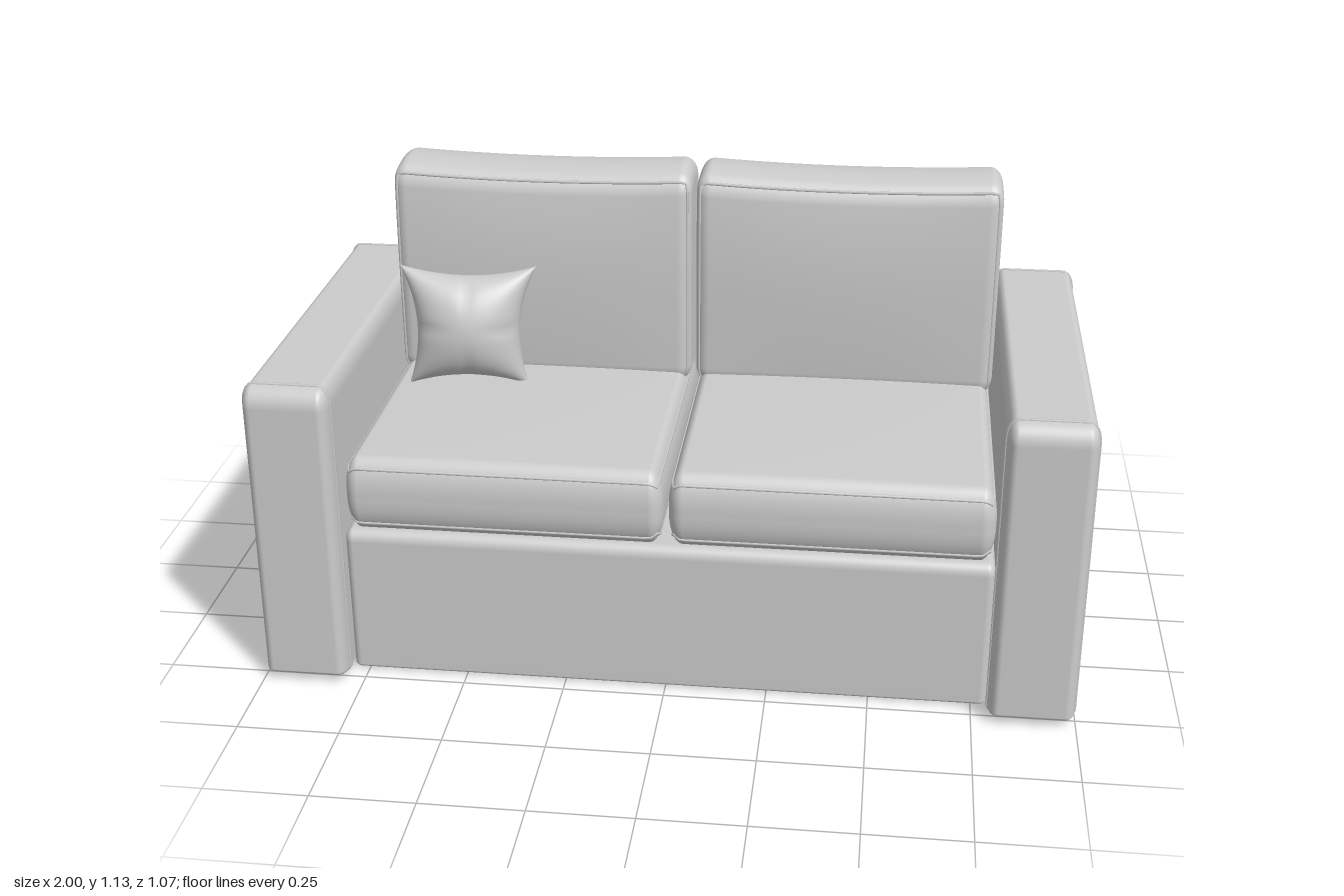
import * as THREE from 'three';
import { mergeVertices } from 'three/addons/utils/BufferGeometryUtils.js';

const material = new THREE.MeshStandardMaterial({ color: 0xcccccc });
const doubleSided = new THREE.MeshStandardMaterial({ color: 0xcccccc, side: THREE.DoubleSide });

function smooth(geometry) {
  geometry.deleteAttribute('uv');
  geometry.deleteAttribute('normal');
  const merged = mergeVertices(geometry, 1e-5);
  merged.computeVertexNormals();
  return merged;
}

// Maps a point of the cube [-1,1]^3 onto an upholstered block.
// The outer half of each axis becomes the rounded edge; shape(p, f) puffs the result.
function softMap({ min, max, radius, bottomRadius = radius[1], shape }) {
  const lo = new THREE.Vector3(...min), hi = new THREE.Vector3(...max);
  const centre = lo.clone().add(hi).multiplyScalar(0.5);
  const half = hi.clone().sub(lo).multiplyScalar(0.5);
  return (t) => {
    const dir = new THREE.Vector3(), p = new THREE.Vector3(), f = new THREE.Vector3();
    for (let i = 0; i < 3; i++) {
      const a = t.getComponent(i);
      const u = Math.max(0, Math.abs(a) * 2 - 1);
      dir.setComponent(i, Math.sign(a) * Math.tan(u * Math.PI / 4));
    }
    dir.normalize();
    for (let i = 0; i < 3; i++) {
      const a = t.getComponent(i);
      const r = i === 1 && a < 0 ? bottomRadius : radius[i];
      const flat = THREE.MathUtils.clamp(a * 2, -1, 1) * (half.getComponent(i) - r);
      const offset = flat + dir.getComponent(i) * r;
      f.setComponent(i, offset / half.getComponent(i));
      p.setComponent(i, centre.getComponent(i) + offset);
    }
    if (shape) shape(p, f);
    return p;
  };
}

function softBlock(name, options) {
  const group = new THREE.Group();
  group.name = name;
  const map = softMap(options);
  const geometry = new THREE.BoxGeometry(2, 2, 2, 24, 24, 24);
  const pos = geometry.attributes.position;
  const v = new THREE.Vector3();
  for (let i = 0; i < pos.count; i++) {
    const p = map(v.fromBufferAttribute(pos, i));
    pos.setXYZ(i, p.x, p.y, p.z);
  }
  const body = new THREE.Mesh(smooth(geometry), material);
  body.name = name + 'Body';
  group.add(body);

  // Piping: a closed loop around the block, at a set level along one axis
  for (const [axis, level] of options.seams || []) {
    const points = [];
    const corners = [[1, 1], [-1, 1], [-1, -1], [1, -1]];
    const steps = 20;
    corners.forEach(([a, b], k) => {
      const [c, d] = corners[(k + 1) % 4];
      for (let s = 0; s < steps; s++) {
        const w = s / steps;
        const t = new THREE.Vector3();
        t.setComponent(axis, level);
        t.setComponent((axis + 1) % 3, a + (c - a) * w);
        t.setComponent((axis + 2) % 3, b + (d - b) * w);
        points.push(map(t));
      }
    });
    const curve = new THREE.CatmullRomCurve3(points, true);
    const piping = new THREE.Mesh(new THREE.TubeGeometry(curve, 180, 0.004, 6, true), material);
    piping.name = name + 'Piping';
    group.add(piping);
  }
  return group;
}

// Square throw pillow with pinched corners and a soft crease at each edge centre
function throwPillow() {
  const group = new THREE.Group();
  group.name = 'throwPillow';
  for (const side of [1, -1]) {
    const geometry = new THREE.PlaneGeometry(2, 2, 32, 32);
    const pos = geometry.attributes.position;
    for (let i = 0; i < pos.count; i++) {
      const u = Math.sin(pos.getX(i) * Math.PI / 2), v = Math.sin(pos.getY(i) * Math.PI / 2);
      const eu = 1 - u * u, ev = 1 - v * v;
      const crease = Math.exp(-u * u * 120) * v * v + Math.exp(-v * v * 120) * u * u;
      const z = 0.088 * Math.pow(Math.max(0, eu * ev), 0.5) * (1 - 0.15 * crease);
      const taper = 1 + 0.06 * v;
      pos.setXYZ(i, 0.166 * u * taper * (1 - 0.2 * ev), 0.158 * v * (1 - 0.17 * eu), side * z);
    }
    if (side < 0) {
      const index = geometry.index;
      for (let i = 0; i < index.count; i += 3) {
        const a = index.getX(i);
        index.setX(i, index.getX(i + 1));
        index.setX(i + 1, a);
      }
    }
    const half = new THREE.Mesh(smooth(geometry), doubleSided);
    half.name = side > 0 ? 'pillowFront' : 'pillowBack';
    group.add(half);
  }
  group.position.set(-0.575, 0.732, -0.06);
  group.rotation.set(-0.14, 0.12, 0);
  return group;
}

export function createModel() {
  const sofa = new THREE.Group();
  sofa.name = 'sofa';

  // Frame: base box and back panel
  sofa.add(softBlock('base', {
    min: [-0.79, 0, -0.35], max: [0.79, 0.39, 0.462],
    radius: [0.02, 0.03, 0.025], bottomRadius: 0.012,
  }));
  sofa.add(softBlock('backPanel', {
    min: [-0.795, 0.01, -0.535], max: [0.795, 1, -0.365],
    radius: [0.05, 0.06, 0.035], bottomRadius: 0.03,
    seams: [[2, -0.5]],
  }));

  for (const side of [1, -1]) {
    const label = side > 0 ? 'left' : 'right';
    const span = (a, b) => (side > 0 ? [a, b] : [-b, -a]);

    // Arm, slightly narrower in depth toward the top
    const [a0, a1] = span(0.788, 0.997);
    sofa.add(softBlock(label + 'Arm', {
      min: [a0, 0.014, -0.527], max: [a1, 0.788, 0.538],
      radius: [0.025, 0.05, 0.042], bottomRadius: 0.015,
      shape: (p, f) => { p.z *= 1 - 0.008 * (f.y + 1); },
      seams: [[2, 0.5], [2, -0.5]],
    }));

    // Seat cushion with a full, rounded front
    const [c0, c1] = span(0.006, 0.784);
    sofa.add(softBlock(label + 'SeatCushion', {
      min: [c0, 0.385, -0.36], max: [c1, 0.58, 0.462],
      radius: [0.035, 0.085, 0.045],
      shape: (p, f) => {
        if (f.y > 0) p.y += 0.008 * f.y * (1 - f.x * f.x) * (1 - f.z * f.z);
      },
      seams: [[1, 1], [1, -1]],
    }));

    // Back cushion: crowned top, front face leaning out toward the seat
    sofa.add(softBlock(label + 'BackCushion', {
      min: [c0, 0.55, -0.378], max: [c1, 1.112, -0.155],
      radius: [0.035, 0.045, 0.035],
      shape: (p, f) => {
        if (f.y > 0) {
          p.y += f.y * f.y * (0.02 * (1 - f.z * f.z) - 0.012 * (1 - f.x * f.x));
          p.z -= 0.014 * f.z * f.y * f.y;
        }
        if (f.z > 0) p.z += 0.012 * f.z * (1 - f.x * f.x) * (1 - f.y * f.y);
      },
      seams: [[2, 1], [2, -1]],
    }));
  }

  sofa.add(throwPillow());
  return sofa;
}
